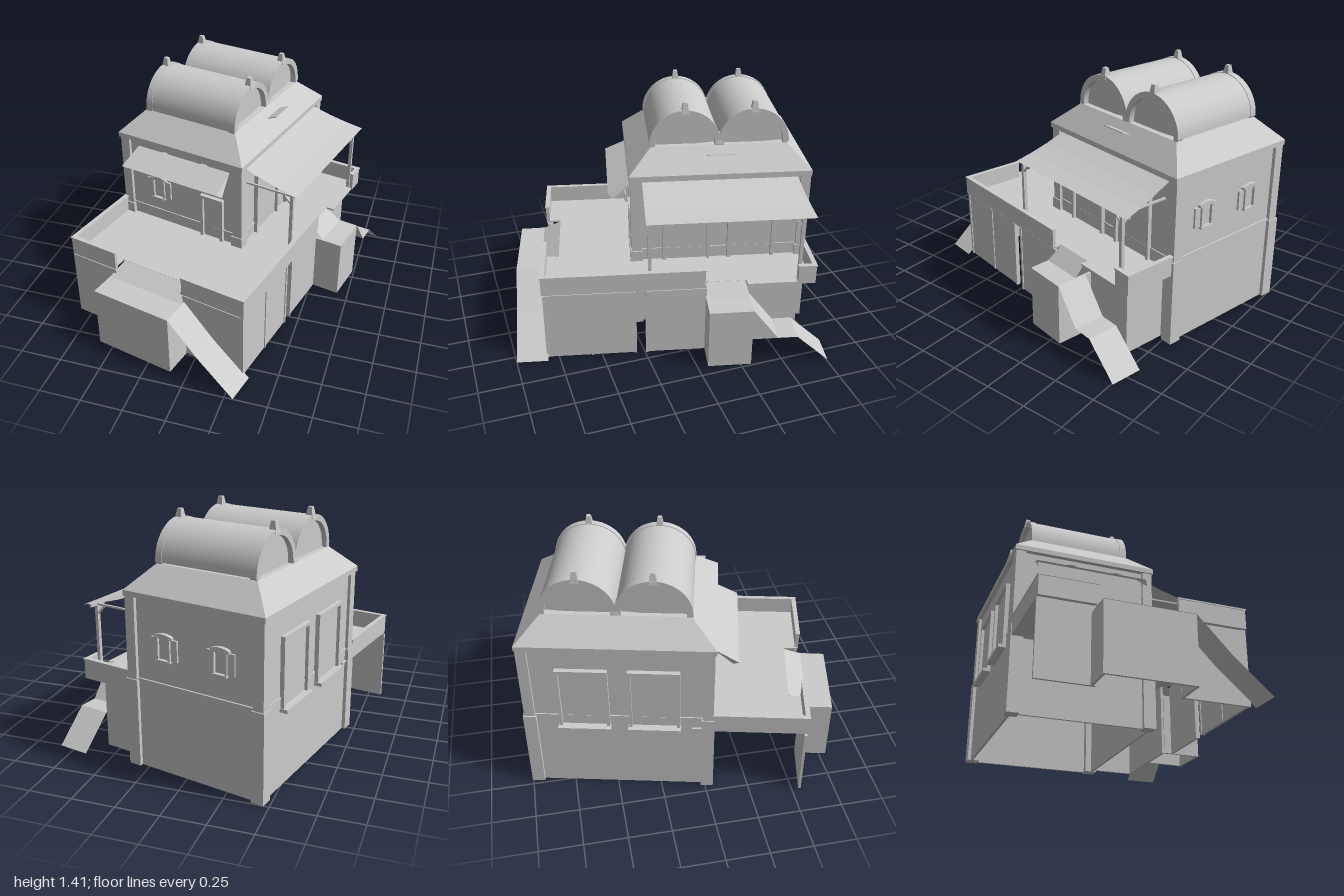
import * as THREE from 'three';
import { toCreasedNormals } from 'three/addons/utils/BufferGeometryUtils.js';

const mat = new THREE.MeshStandardMaterial({ color: 0xcccccc, flatShading: true });
const sheetMat = new THREE.MeshStandardMaterial({ color: 0xcccccc, flatShading: true, side: THREE.DoubleSide });
const smoothMat = new THREE.MeshStandardMaterial({ color: 0xcccccc });

function add(parent, name, geo, material = mat) {
  const m = new THREE.Mesh(geo, material);
  m.name = name;
  parent.add(m);
  return m;
}

// Box given by its limits
function box(parent, name, x0, x1, y0, y1, z0, z1) {
  const m = add(parent, name, new THREE.BoxGeometry(x1 - x0, y1 - y0, z1 - z0));
  m.position.set((x0 + x1) / 2, (y0 + y1) / 2, (z0 + z1) / 2);
  return m;
}

// Walls around a rectangle, open above and below; sides lists the ones to build
function shell(parent, name, x0, x1, y0, y1, z0, z1, sides = 'front back left right') {
  const t = 0.015;
  if (sides.includes('front')) box(parent, name, x0, x1, y0, y1, z1 - t, z1);
  if (sides.includes('back')) box(parent, name, x0, x1, y0, y1, z0, z0 + t);
  if (sides.includes('left')) box(parent, name, x1 - t, x1, y0, y1, z0, z1);
  if (sides.includes('right')) box(parent, name, x0, x0 + t, y0, y1, z0, z1);
}

// Thin sheet between pairs of edge points: rows = [[p, q], ...]
function ribbon(parent, name, rows) {
  const idx = [];
  for (let i = 0; i < rows.length - 1; i++) {
    const k = i * 2;
    idx.push(k, k + 1, k + 3, k, k + 3, k + 2);
  }
  const g = new THREE.BufferGeometry();
  g.setAttribute('position', new THREE.Float32BufferAttribute(rows.flat(2), 3));
  g.setIndex(idx);
  const flat = g.toNonIndexed();
  flat.computeVertexNormals();
  return add(parent, name, flat, sheetMat);
}

// Group on a wall whose local +z points outward
function onWall(parent, name, x, y, z, turn) {
  const g = new THREE.Group();
  g.name = name;
  g.position.set(x, y, z);
  g.rotation.y = turn;
  parent.add(g);
  return g;
}

function door(parent, name, x, y, z, turn, w, h, sill) {
  const g = onWall(parent, name, x, y, z, turn);
  const t = 0.018;
  box(g, 'doorPanel', -w / 2 + t, w / 2 - t, 0, h - t, -0.01, 0.006);
  for (const s of [-1, 1]) {
    const c = s * (w - t) / 2;
    box(g, 'doorJamb', c - t / 2, c + t / 2, 0, h, -0.01, 0.025);
  }
  box(g, 'doorLintel', -w / 2, w / 2, h - t, h, -0.01, 0.027);
  if (sill) box(g, 'sill', -w / 2 - 0.005, w / 2 + 0.005, -0.015, 0.005, -0.01, 0.05);
}

function shutteredWindow(parent, name, x, y, z, turn) {
  const g = onWall(parent, name, x, y, z, turn);
  for (const s of [-1, 1]) {
    box(g, 'shutter', s * 0.062 - 0.021, s * 0.062 + 0.021, -0.065, 0.055, -0.01, 0.012);
    box(g, 'windowJamb', s * 0.038 - 0.006, s * 0.038 + 0.006, -0.07, 0.065, -0.01, 0.024);
  }
  box(g, 'windowPane', -0.034, 0.034, -0.065, 0.06, -0.01, 0.008);
  box(g, 'windowSill', -0.045, 0.045, -0.075, -0.063, -0.01, 0.028);
  const s = new THREE.Shape();
  s.moveTo(-0.055, 0.055);
  s.lineTo(0.055, 0.055);
  s.lineTo(0.055, 0.07);
  s.quadraticCurveTo(0, 0.095, -0.055, 0.07);
  add(g, 'windowHood', new THREE.ExtrudeGeometry(s, { depth: 0.022, bevelEnabled: false, curveSegments: 5 }));
}

// Arch profile extruded along x
function arch(parent, name, x0, x1, z, y, r, inner) {
  const s = new THREE.Shape();
  s.moveTo(r, -0.03);
  s.absarc(0, 0, r, 0, Math.PI, false);
  s.lineTo(-r, -0.03);
  if (inner) {
    s.lineTo(-inner, -0.03);
    s.absarc(0, 0, inner, Math.PI, 0, true);
    s.lineTo(inner, -0.03);
  }
  const g = new THREE.ExtrudeGeometry(s, { depth: x1 - x0, bevelEnabled: false, curveSegments: 20 });
  const m = add(parent, name, toCreasedNormals(g, 0.6), smoothMat);
  m.rotation.y = Math.PI / 2;
  m.position.set(x0, y, z);
}

function buildHouse(p) {
  shell(p, 'houseWall', -0.66, 0.155, 0.5, 0.99, -0.845, 0.18);
  shell(p, 'lowerWall', -0.664, 0.159, 0, 0.52, -0.852, 0.184);
  shell(p, 'stringCourse', -0.667, 0.162, 0.515, 0.528, -0.855, 0.187);
  for (const sx of [-1, 1]) for (const sz of [-1, 1]) {
    const x = -0.2525 + sx * 0.395, z = -0.333 + sz * 0.503;
    box(p, 'cornerPilaster', x - 0.03, x + 0.03, 0.52, 0.99, z - 0.03, z + 0.03);
    box(p, 'pilasterBase', x - 0.037, x + 0.037, 0, 0.52, z - 0.037, z + 0.037);
  }
  for (const z of [-0.13, -0.525]) {
    door(p, 'sideDoor', 0.155, 0.44, z, Math.PI / 2, 0.287, 0.42, false);
    door(p, 'tallWindow', -0.66, 0.46, z, -Math.PI / 2, 0.287, 0.4, true);
  }
  door(p, 'frontDoor', -0.035, 0.44, 0.18, 0, 0.155, 0.305, false);
  shutteredWindow(p, 'frontWindow', -0.417, 0.69, 0.18, 0);
  for (const x of [-0.07, -0.42]) shutteredWindow(p, 'backWindow', x, 0.735, -0.845, Math.PI);
}

function buildRoof(p) {
  box(p, 'eaves', -0.685, 0.18, 0.99, 1.02, -0.87, 0.21);
  // Hipped skirt: a box with its top drawn in
  const hip = new THREE.BoxGeometry(0.865, 0.13, 1.08);
  const v = hip.attributes.position;
  for (let i = 0; i < v.count; i++) {
    if (v.getY(i) > 0) v.setXYZ(i, v.getX(i) * 0.71, v.getY(i), v.getZ(i) * 0.745);
  }
  hip.computeVertexNormals();
  add(p, 'hipRoof', hip).position.set(-0.2525, 1.085, -0.33);

  // Twin barrel vaults with rims and finials
  const ends = [-0.54, 0.035];
  const finial = new THREE.CylinderGeometry(0.017, 0.033, 0.065, 4).rotateY(Math.PI / 4);
  for (const z of [-0.535, -0.13]) {
    arch(p, 'barrelVault', -0.53, 0.02, z, 1.16, 0.205);
    for (const x of ends) {
      arch(p, 'vaultRim', x - 0.02, x + 0.02, z, 1.16, 0.209, 0.175);
      add(p, 'finial', finial).position.set(x, 1.38, z);
    }
  }
  for (const x of ends) add(p, 'valleyFinial', finial).position.set(x, 1.19, -0.333);
  // Small plate tipped up away from the slope
  const plate = box(p, 'roofPlate', 0.09, 0.158, 1.115, 1.12, -0.42, -0.255);
  plate.rotation.z = 0.4;
}

function buildAwnings(p) {
  // Front awning with side flaps and patches
  ribbon(p, 'frontAwning', [
    [[-0.56, 0.945, 0.18], [0.08, 0.945, 0.18]],
    [[-0.585, 0.87, 0.33], [0.08, 0.87, 0.33]]]);
  for (const [x0, x1] of [[-0.56, -0.585], [0.08, 0.08]]) ribbon(p, 'awningFlap', [
    [[x0, 0.945, 0.18], [x0, 0.945, 0.181]],
    [[x1, 0.87, 0.33], [x1 + 0.02, 0.845, 0.3]]]);
  for (const x of [-0.385, -0.11]) ribbon(p, 'awningPatch', [
    [[x, 0.952, 0.18], [x + 0.04, 0.952, 0.18]],
    [[x, 0.877, 0.33], [x + 0.04, 0.877, 0.33]]]);

  // Side awning, gently sagging, on two posts
  const row = (x, y, back) => [[x, y, 0.13], [x, y, back]];
  ribbon(p, 'sideAwning', [row(0.15, 0.975, -0.79), row(0.27, 0.932, -0.805),
    row(0.38, 0.9, -0.82), row(0.49, 0.875, -0.835)]);
  box(p, 'awningBeam', 0.447, 0.463, 0.86, 0.878, -0.82, 0.125);
  for (const z of [0.11, -0.765]) {
    box(p, 'awningPost', 0.445, 0.465, 0.44, 0.87, z - 0.01, z + 0.01);
    box(p, 'awningRafter', 0.15, 0.47, 0.862, 0.872, z - 0.006, z + 0.006);
    const s = z > 0 ? -1 : 1;
    box(p, 'braceAlong', 0.45, 0.46, 0.8, 0.87, z + s * 0.03 - 0.005, z + s * 0.03 + 0.005).rotation.x = s * 0.75;
    box(p, 'braceAcross', 0.42, 0.43, 0.8, 0.87, z - 0.005, z + 0.005).rotation.z = 0.75;
  }
}

function buildTerrace(p) {
  // L-shaped deck, notched at both stair heads (x, z outline)
  const outline = [[-0.675, 0.08], [0.11, 0.08], [0.11, -0.85], [0.485, -0.85], [0.485, -0.46], [0.44, -0.46],
    [0.44, -0.22], [0.485, -0.22], [0.485, 0.73], [0.08, 0.73], [0.08, 0.645], [-0.375, 0.645], [-0.375, 0.73], [-0.675, 0.73]];
  const shape = new THREE.Shape(outline.map(([x, z]) => new THREE.Vector2(x, z)));
  const deck = add(p, 'deck', new THREE.ExtrudeGeometry(shape, { depth: 0.01, bevelEnabled: false }));
  deck.rotation.x = Math.PI / 2;
  deck.position.y = 0.453;

  // Parapets with a thin cap
  const parapets = [
    [-0.68, -0.66, 0.2, 0.735], [-0.68, -0.365, 0.715, 0.735],
    [0.09, 0.49, 0.715, 0.735], [0.47, 0.49, -0.21, 0.735],
    [0.47, 0.49, -0.858, -0.755], [0.17, 0.49, -0.858, -0.838]];
  for (const [x0, x1, z0, z1] of parapets) {
    box(p, 'parapet', x0, x1, 0.442, 0.555, z0, z1);
    box(p, 'parapetCap', x0 - 0.004, x1 + 0.004, 0.553, 0.562, z0 - 0.004, z1 + 0.004);
  }

  // Supporting walls; the left side and a slot on the right stay open
  const walls = [
    [-0.685, -0.37, 0.715, 0.73], [0.09, 0.48, 0.715, 0.73],
    [0.465, 0.48, 0.197, 0.73], [0.465, 0.48, -0.22, 0.138],
    [0.405, 0.42, -0.775, -0.22], [0.16, 0.42, -0.775, -0.76]];
  for (const [x0, x1, z0, z1] of walls) box(p, 'terraceWall', x0, x1, 0, 0.432, z0, z1);
  for (const z of [0.722, 0.455, 0.2, 0.13]) box(p, 'wallPost', 0.46, 0.486, 0, 0.435, z - 0.008, z + 0.008);
}

function buildStairs(p) {
  // Front landing, threshold slope and ramp
  shell(p, 'frontLandingWall', -0.396, 0.106, 0, 0.388, 0.725, 0.905, 'front left right');
  const f = (x0, x1, y, z) => [[x0, y, z], [x1, y, z]];
  ribbon(p, 'frontLandingTop', [f(-0.363, 0.068, 0.452, 0.645), f(-0.396, 0.106, 0.392, 0.755), f(-0.396, 0.106, 0.39, 0.905)]);
  const r = (x, y) => [[x, y, 0.905], [x, y, 0.72]];
  ribbon(p, 'frontRamp', [r(0.106, 0.39), r(0.295, 0.195), r(0.52, 0)]);

  // Side landing and two ramps with a rest between
  shell(p, 'sideLandingWall', 0.42, 0.65, 0, 0.375, -0.47, -0.215, 'front back left');
  const t = (x, y, z0, z1) => [[x, y, z0], [x, y, z1]];
  ribbon(p, 'sideLandingTop', [t(0.44, 0.452, -0.225, -0.45), t(0.53, 0.38, -0.215, -0.47), t(0.65, 0.377, -0.215, -0.47)]);
  const s = (z, y) => [[0.65, y, z], [0.46, y, z]];
  ribbon(p, 'sideRamp', [s(-0.47, 0.378), s(-0.62, 0.18), s(-0.735, 0.18), s(-0.93, 0)]);
}

export function createModel() {
  const model = new THREE.Group();
  model.name = 'house';
  const body = new THREE.Group();
  body.name = 'houseBody';
  body.rotation.y = -0.229; // the whole house stands turned on its plot
  model.add(body);
  for (const [name, build] of [['mainHouse', buildHouse], ['roof', buildRoof],
    ['awnings', buildAwnings], ['terrace', buildTerrace], ['stairs', buildStairs]]) {
    const g = new THREE.Group();
    g.name = name;
    build(g);
    body.add(g);
  }
  return model;
}
